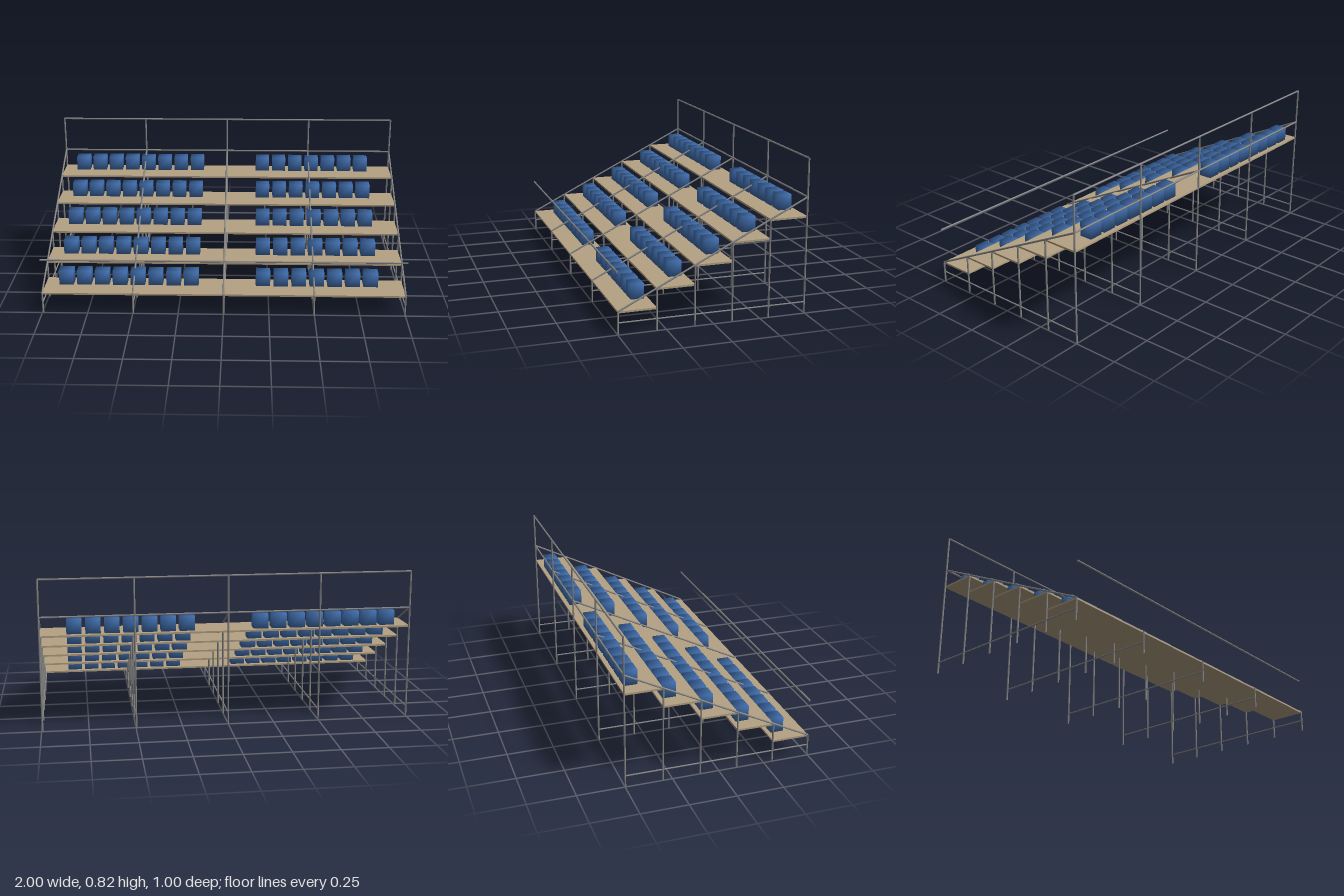
import * as THREE from 'three';

const metal = new THREE.MeshStandardMaterial({ color: 0xcccccc, side: THREE.DoubleSide });
metal.color.set(0x8a8a8a);
const wood = new THREE.MeshStandardMaterial({ color: 0xb5a283 });
const blue = new THREE.MeshStandardMaterial({ color: 0x3f6cab });

const STEP = 0.199;      // tier depth
const RISE = 0.0995;     // tier height
const FRONT = 0.4975;    // z of the front posts
const HALF = 0.995;      // half width
const BASE = 0.119;      // top of the lowest deck
const TIERS = 5;

// Open round tube between two points
function tube(name, a, b, r = 0.005) {
  const from = new THREE.Vector3(...a);
  const dir = new THREE.Vector3(...b).sub(from);
  const geo = new THREE.CylinderGeometry(r, r, dir.length(), 8, 1, true);
  const mesh = new THREE.Mesh(geo, metal);
  mesh.name = name;
  mesh.position.copy(from).addScaledVector(dir, 0.5);
  mesh.quaternion.setFromUnitVectors(new THREE.Vector3(0, 1, 0), dir.normalize());
  return mesh;
}

// Box whose normals point out through its corners, for soft shading
function softBox(w, h, d) {
  const geo = new THREE.BoxGeometry(w, h, d);
  const p = geo.attributes.position, n = geo.attributes.normal;
  const v = new THREE.Vector3();
  for (let i = 0; i < p.count; i++) {
    v.set(Math.sign(p.getX(i)), Math.sign(p.getY(i)), Math.sign(p.getZ(i))).normalize();
    n.setXYZ(i, v.x, v.y, v.z);
  }
  return geo;
}

// Upright frame: posts, sloping rail and low brace
function supportFrame(x) {
  const frame = new THREE.Group();
  frame.name = 'supportFrame';
  for (let i = 0; i <= TIERS; i++) {
    const z = FRONT - i * STEP;
    const top = i === TIERS ? 0.816 : BASE + i * RISE;
    frame.add(tube(i === TIERS ? 'backPost' : 'post', [x, 0, z], [x, top, z]));
  }
  frame.add(tube('slopingRail', [x, BASE, FRONT], [x, BASE + TIERS * RISE, -FRONT]));
  frame.add(tube('lowBrace', [x, 0.061, FRONT], [x, 0.061, -FRONT], 0.004));
  return frame;
}

export function createModel() {
  const model = new THREE.Group();
  model.name = 'grandstand';

  for (let i = -2; i <= 2; i++) model.add(supportFrame(i * HALF / 2));

  // Long rails across the width
  const rails = [
    ['frontRail', 0.318, FRONT],
    ['backMiddleRail', BASE + TIERS * RISE, -FRONT],
    ['backTopRail', 0.816, -FRONT],
  ];
  for (const [name, y, z] of rails) model.add(tube(name, [-HALF, y, z], [HALF, y, z]));

  // Stepped decks, each with a row of seats split by an aisle
  const deckGeo = new THREE.BoxGeometry(HALF * 2, 0.01, STEP);
  const seatGeo = softBox(0.08, 0.08, 0.07);
  for (let t = 0; t < TIERS; t++) {
    const tier = new THREE.Group();
    tier.name = 'tier';
    tier.position.set(0, BASE + t * RISE, FRONT - t * STEP);

    const deck = new THREE.Mesh(deckGeo, wood);
    deck.name = 'deck';
    deck.position.set(0, -0.004, -STEP / 2);
    tier.add(deck);

    for (let i = 0; i < 18; i++) {
      if (i >= 8 && i <= 10) continue; // aisle
      const seat = new THREE.Mesh(seatGeo, blue);
      seat.name = 'seat';
      seat.position.set(-0.877 + i * 0.0995, 0.042, -0.142);
      tier.add(seat);
    }
    model.add(tier);
  }
  return model;
}
